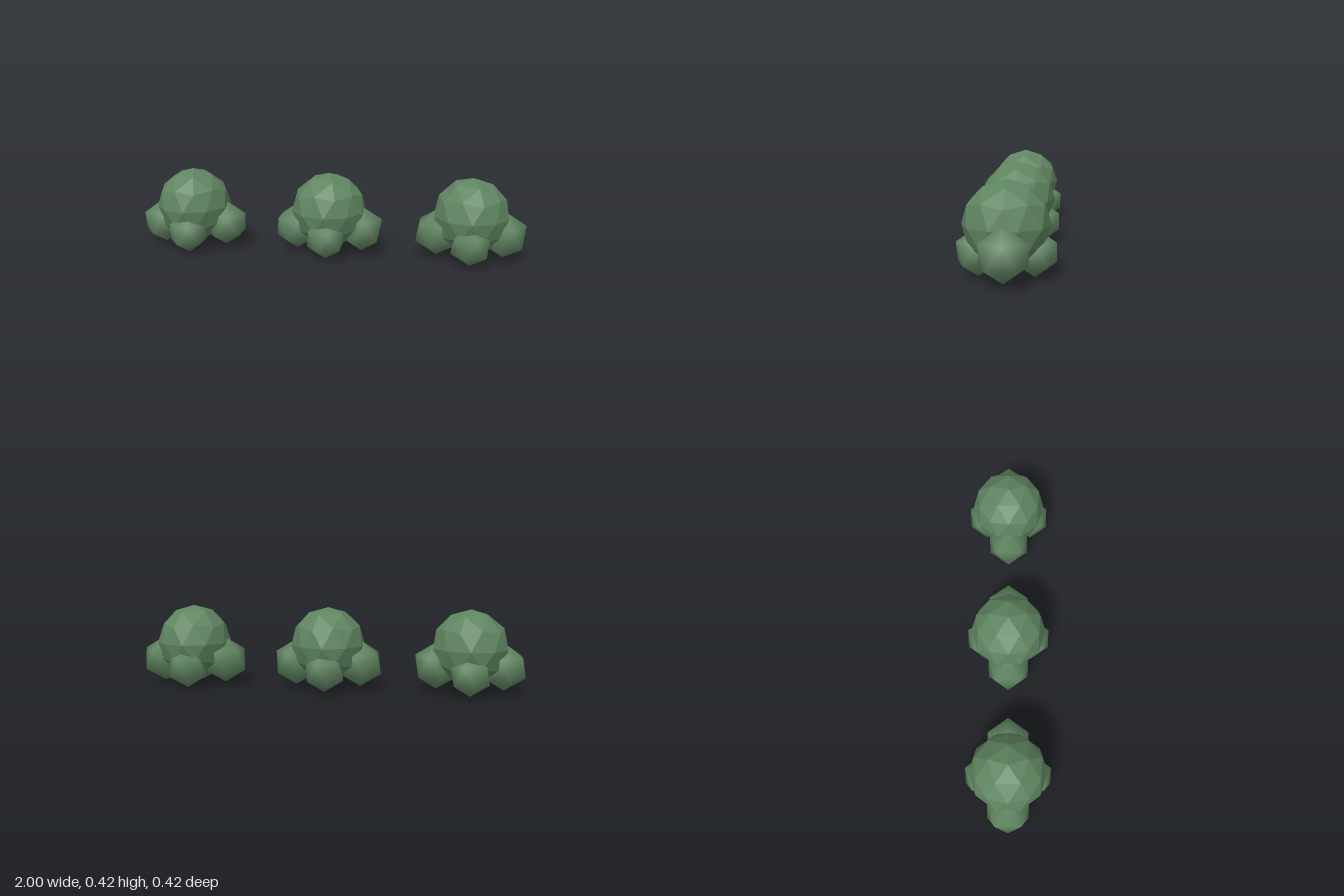
import * as THREE from 'three';

// Icosphere standing on a vertex, with one upper-ring vertex towards +x
function icosphere(radius, detail, smooth) {
  const g = new THREE.IcosahedronGeometry(radius, detail);
  g.rotateZ(-Math.atan(2 / (1 + Math.sqrt(5))));
  if (smooth) {
    const p = g.attributes.position, n = g.attributes.normal, v = new THREE.Vector3();
    for (let i = 0; i < p.count; i++) {
      v.fromBufferAttribute(p, i).normalize();
      n.setXYZ(i, v.x, v.y, v.z);
    }
  }
  return g;
}

export function createModel() {
  const group = new THREE.Group();
  group.name = 'bushRow';
  const color = 0x5f8560;
  const faceted = new THREE.MeshStandardMaterial({ color, flatShading: true });
  const soft = new THREE.MeshStandardMaterial({ color });

  const crownGeo = icosphere(0.192, 1, false);
  const sideGeo = icosphere(0.12, 0, true);
  const endGeo = icosphere(0.108, 0, true);

  function add(parent, name, geo, mat, x, y, z) {
    const mesh = new THREE.Mesh(geo, mat);
    mesh.name = name;
    mesh.position.set(x, y, z);
    parent.add(mesh);
  }

  // Three identical bushes in a row
  for (const i of [-1, 0, 1]) {
    const bush = new THREE.Group();
    bush.name = 'bush';
    bush.position.x = i * 0.724;
    add(bush, 'crown', crownGeo, faceted, 0, 0.228, 0);
    // Larger clumps left and right, smaller ones front and back
    add(bush, 'leftClump', sideGeo, soft, 0.168, 0.132, 0);
    add(bush, 'rightClump', sideGeo, soft, -0.168, 0.132, 0);
    add(bush, 'frontClump', endGeo, soft, 0, 0.108, 0.12);
    add(bush, 'backClump', endGeo, soft, 0, 0.108, -0.12);
    group.add(bush);
  }
  return group;
}
